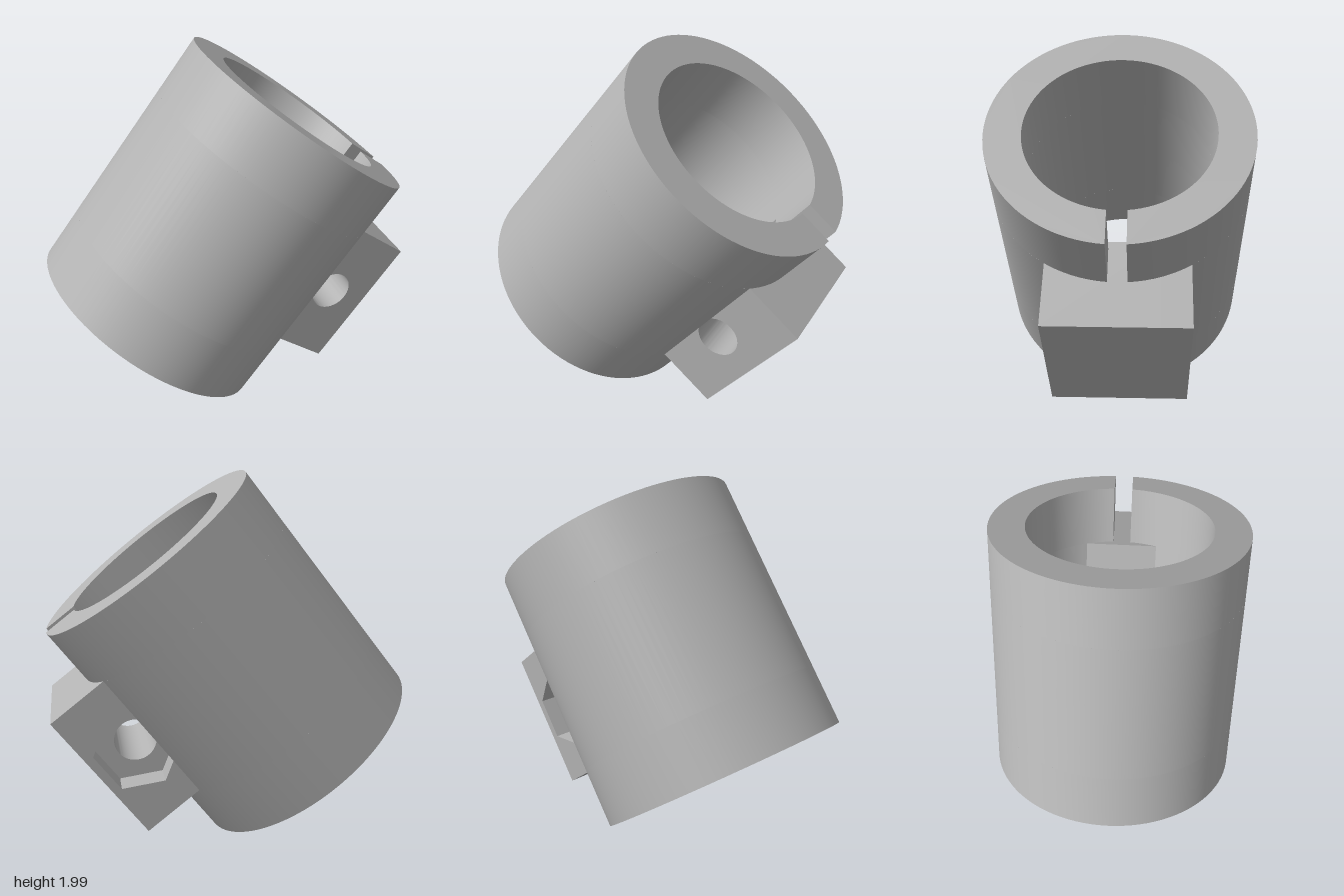
import * as THREE from 'three';
import { toCreasedNormals } from 'three/addons/utils/BufferGeometryUtils.js';

const R = 0.685, BORE = 0.493, HALF = 0.73;          // tube
const BLOCK_IN = 0.45, BLOCK_OUT = 0.93, BH = 0.4, BW = 0.365; // clamp block
const HOLE_X = 0.68;

export function createModel() {
  const metal = new THREE.MeshStandardMaterial({ color: 0xb2b2b2 });
  metal.name = 'plain grey';
  const model = new THREE.Group();
  model.name = 'splitClampTube';

  const extrude = (shape, depth) =>
    new THREE.ExtrudeGeometry(shape, { depth, bevelEnabled: false, curveSegments: 48 });
  const add = (name, geometry) => {
    const mesh = new THREE.Mesh(toCreasedNormals(geometry, 0.5), metal);
    mesh.name = name;
    model.add(mesh);
  };

  // C-shaped ring section, open towards +x, running from y0 to y1
  const ring = (name, y0, y1, outerHalf, innerHalf, flatX) => {
    const ao = Math.asin(outerHalf / R), ai = Math.asin(innerHalf / BORE);
    const s = new THREE.Shape();
    s.absarc(0, 0, R, ao, 2 * Math.PI - ao, false);
    if (flatX) s.lineTo(flatX, -outerHalf);
    s.absarc(0, 0, BORE, 2 * Math.PI - ai, ai, true);
    if (flatX) s.lineTo(flatX, outerHalf);
    s.closePath();
    add(name, extrude(s, y1 - y0).rotateX(-Math.PI / 2).translate(0, y0, 0));
  };

  // Slotted ends, and the middle that holds the block
  ring('upperTube', BH, HALF, 0.05, 0.05);
  ring('lowerTube', -HALF, -BH, 0.05, 0.05);
  ring('middleTube', -BH, BH, BW, Math.sqrt(BORE ** 2 - BLOCK_IN ** 2), BLOCK_IN);

  // Block slice with an opening through it
  const slice = (name, z0, z1, hole) => {
    const s = new THREE.Shape([
      new THREE.Vector2(BLOCK_IN, -BH), new THREE.Vector2(BLOCK_OUT, -BH),
      new THREE.Vector2(BLOCK_OUT, BH), new THREE.Vector2(BLOCK_IN, BH),
    ]);
    s.holes.push(hole);
    add(name, extrude(s, z1 - z0).translate(0, 0, z0));
  };

  // Round bolt hole, then a hexagonal nut pocket at the back
  const bolt = new THREE.Path().absarc(HOLE_X, 0, 0.115, 0, Math.PI * 2, true);
  const nut = new THREE.Path();
  const corners = [];
  for (let i = 0; i < 6; i++) {
    const a = Math.PI / 6 - i * Math.PI / 3;
    corners.push(new THREE.Vector2(HOLE_X + 0.235 * Math.cos(a), 0.235 * Math.sin(a)));
  }
  nut.setFromPoints([...corners, corners[0]]);
  slice('boltBlock', -BW + 0.15, BW, bolt);
  slice('nutPocketBlock', -BW, -BW + 0.15, nut);

  // Lean of the whole clamp
  model.rotation.set(0, Math.PI / 6, -0.6627, 'YXZ');
  model.position.set(-0.031, 0.996, 0);
  const root = new THREE.Group();
  root.name = 'clamp';
  root.add(model);
  return root;
}
